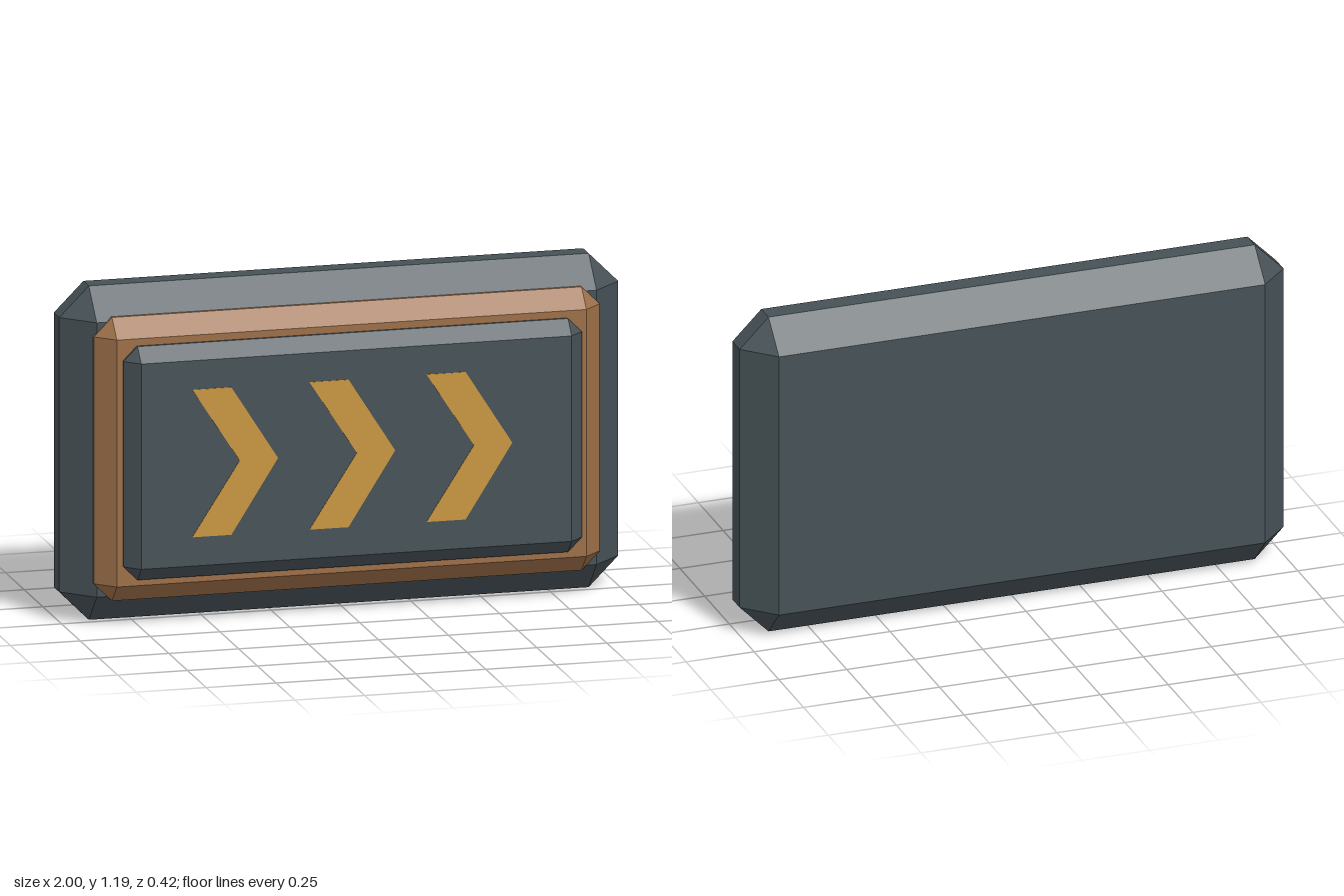
import * as THREE from 'three';
import { ConvexGeometry } from 'three/addons/geometries/ConvexGeometry.js';

const material = (name, color) => {
  const m = new THREE.MeshStandardMaterial({ color });
  m.name = name;
  return m;
};

// Box with every edge cut at 45 degrees and a triangle at each corner
function chamferedBox(w, h, d, c) {
  const half = [w / 2, h / 2, d / 2];
  const points = [];
  for (const sx of [-1, 1]) for (const sy of [-1, 1]) for (const sz of [-1, 1]) {
    const s = [sx, sy, sz];
    for (let full = 0; full < 3; full++) {
      points.push(new THREE.Vector3(...half.map((v, i) => s[i] * (i === full ? v : v - c))));
    }
  }
  return new ConvexGeometry(points);
}

export function createModel() {
  const slate = material('slate', 0x465156);
  const copper = material('copper', 0x9c6e47);
  const amber = material('amber', 0xc8963f);

  const group = new THREE.Group();
  group.name = 'arrowSign';
  const add = (name, geometry, mat, x, y, z) => {
    const mesh = new THREE.Mesh(geometry, mat);
    mesh.name = name;
    mesh.position.set(x, y, z);
    group.add(mesh);
  };

  // Stacked slabs: body, raised frame, front panel
  const cy = 0.595;
  add('body', chamferedBox(2, 1.19, 0.285, 0.106), slate, 0, cy, -0.068);
  add('frame', chamferedBox(1.81, 1.01, 0.142, 0.065), copper, 0, cy, 0.07);
  add('panel', chamferedBox(1.64, 0.832, 0.11, 0.05), slate, 0, cy, 0.151);

  // Three chevrons pointing to +x
  const chevron = new THREE.Shape([
    [-0.155, 0.263], [-0.015, 0.263], [0.152, 0],
    [-0.015, -0.263], [-0.155, -0.263], [0.015, 0],
  ].map(([x, y]) => new THREE.Vector2(x, y)).reverse());
  const plate = new THREE.ExtrudeGeometry(chevron, { depth: 0.004, bevelEnabled: false });
  for (let i = 0; i < 3; i++) {
    add('chevron' + (i + 1), plate, amber, -0.433 + i * 0.419, cy, 0.204);
  }
  return group;
}
